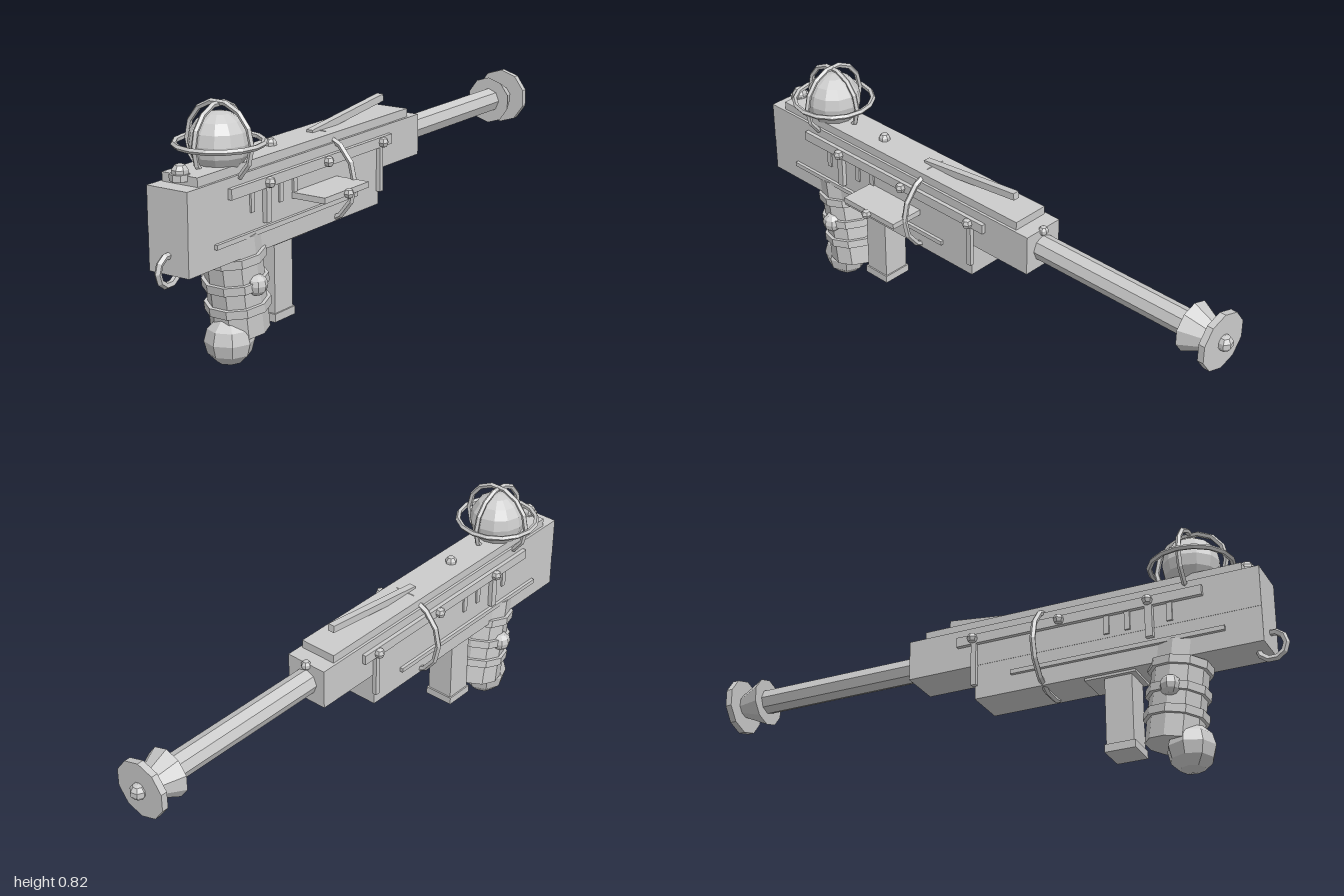
import * as THREE from 'three';

export function createModel() {
  const model = new THREE.Group();
  const mat = new THREE.MeshStandardMaterial({ color: 0xcccccc, flatShading: true });
  const CX = -0.033; // centre line of the body

  const add = (name, geo, x, y, z, parent = model) => {
    const m = new THREE.Mesh(geo, mat);
    m.name = name;
    m.position.set(x, y, z);
    parent.add(m);
    return m;
  };
  // box given by its y and z ranges, x is the centre
  const slab = (name, w, y0, y1, z0, z1, x = CX) =>
    add(name, new THREE.BoxGeometry(w, y1 - y0, z1 - z0), x, (y0 + y1) / 2, (z0 + z1) / 2);
  const ball = (name, r, x, y, z, ws = 7, hs = 5) => add(name, new THREE.SphereGeometry(r, ws, hs), x, y, z);
  const ring = (name, R, r, x, y, z, n = 12) => add(name, new THREE.TorusGeometry(R, r, 5, n), x, y, z);
  const rod = (name, r0, r1, z0, z1, y, sides) => {
    // r0 is the radius at z0, r1 at z1
    const g = new THREE.CylinderGeometry(r1, r0, z1 - z0, sides);
    g.rotateX(Math.PI / 2);
    return add(name, g, CX, y, (z0 + z1) / 2);
  };

  // Body
  slab('upperBody', 0.148, 0.473, 0.61, -0.26, 0.942);
  slab('lowerBody', 0.146, 0.355, 0.473, -0.02, 0.942);
  slab('topCover', 0.13, 0.61, 0.638, -0.205, 0.885);

  // Barrel with flared muzzle
  rod('barrel', 0.043, 0.043, -0.88, -0.26, 0.542, 8);
  rod('muzzleCone', 0.04, 0.083, -0.945, -0.855, 0.542, 10);
  rod('muzzleDisc', 0.096, 0.096, -0.967, -0.945, 0.542, 10);
  ball('muzzleTip', 0.027, CX, 0.542, -0.973);

  // Raised lever on top
  const lever = add('topLever', new THREE.BoxGeometry(0.024, 0.024, 0.4), CX, 0.657, 0.055);
  lever.rotation.x = 0.115;

  // Bolts along the top
  ball('topBolt', 0.02, CX, 0.642, 0.455);
  ball('frontBolt', 0.017, CX, 0.603, -0.26);
  add('rearBoltBase', new THREE.CylinderGeometry(0.03, 0.03, 0.02, 8), CX, 0.632, 0.885);
  ball('rearBolt', 0.027, CX, 0.645, 0.882);

  // Side fittings, mirrored
  for (const s of [-1, 1]) {
    const side = (d) => CX + s * d;
    slab('sideRail', 0.016, 0.547, 0.58, -0.08, 0.76, side(0.08));
    slab('lowerRod', 0.014, 0.413, 0.428, 0.11, 0.825, side(0.077));
    for (const z of [0.585, 0.285, -0.02]) ball('sideBolt', 0.018, side(0.095), 0.564, z, 6, 4);
    slab('strap', 0.016, 0.44, 0.55, 0.573, 0.597, side(0.082));
    slab('frontStrap', 0.016, 0.4, 0.55, -0.028, -0.01, side(0.08));
    for (const z of [0.44, 0.51, 0.65]) slab('vent', 0.012, 0.485, 0.547, z - 0.009, z + 0.009, side(0.074));
    ball('gripKnob', 0.034, side(0.085), 0.262, 0.645, 8, 6);
  }

  // Side plate with knob
  slab('sidePlate', 0.13, 0.481, 0.5, 0.215, 0.45, 0.098);
  ball('plateKnob', 0.017, 0.171, 0.49, 0.335, 6, 4);

  // Hoop around the body and carrying loop at the rear
  ring('bodyHoop', 0.144, 0.01, CX, 0.489, 0.217, 14);
  ring('rearLoop', 0.045, 0.011, CX, 0.37, 0.945, 10).rotation.y = Math.PI / 2;

  // Globe in a cage of three rings
  ball('globe', 0.094, CX, 0.698, 0.703, 12, 8);
  ring('cageSideways', 0.12, 0.009, CX, 0.698, 0.703, 14);
  ring('cageLengthways', 0.116, 0.009, CX, 0.698, 0.703, 14).rotation.y = Math.PI / 2;
  ring('cageLevel', 0.133, 0.009, CX, 0.697, 0.703, 16).rotation.x = Math.PI / 2;

  // Tilted grip with bands and a ball foot
  const grip = new THREE.Group();
  grip.name = 'grip';
  grip.position.set(CX, 0.26, 0.64);
  grip.rotation.x = 0.135;
  model.add(grip);
  add('gripPost', new THREE.CylinderGeometry(0.09, 0.09, 0.32, 10, 1, false, Math.PI / 2), 0, 0, 0, grip);
  for (const y of [0.087, 0.003, -0.073]) {
    add('gripBand', new THREE.CylinderGeometry(0.102, 0.102, 0.027, 10, 1, false, Math.PI / 2), 0, y, 0, grip);
  }
  ball('gripFoot', 0.078, CX, 0.081, 0.674, 8, 6);

  // Magazine
  slab('magazineCollar', 0.12, 0.347, 0.357, 0.355, 0.525);
  slab('magazine', 0.095, 0.1, 0.355, 0.417, 0.508);
  slab('magazineFoot', 0.105, 0.098, 0.124, 0.412, 0.514);

  return model;
}
